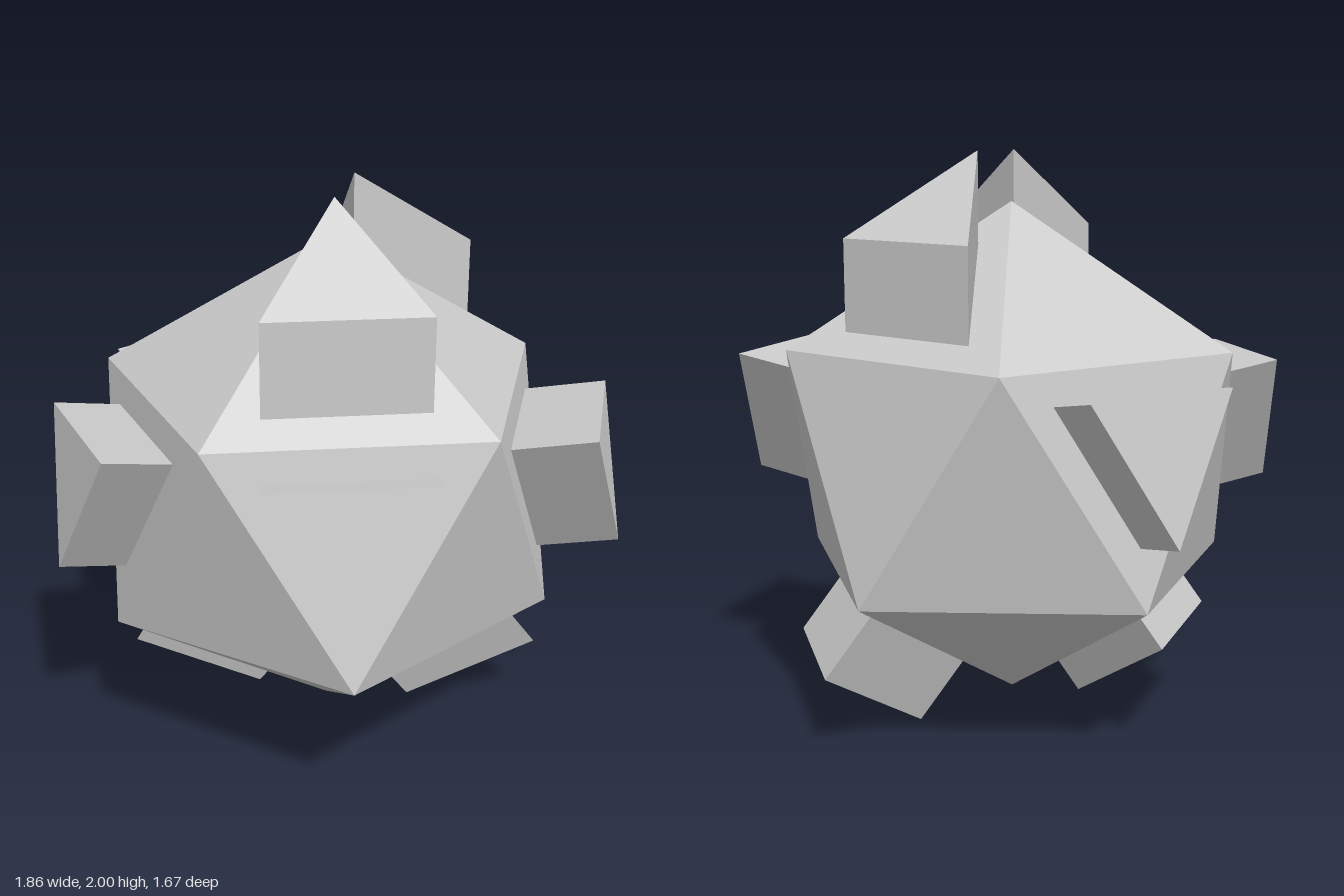
import * as THREE from 'three';
import { ConvexGeometry } from 'three/addons/geometries/ConvexGeometry.js';

const CENTER = new THREE.Vector3(0.025, 0.965, 0.04);
const RADIUS = 0.865;

export function createModel() {
  const group = new THREE.Group();
  const material = new THREE.MeshStandardMaterial({ color: 0xcccccc, flatShading: true });

  function add(name, points) {
    const mesh = new THREE.Mesh(new ConvexGeometry(points), material);
    mesh.name = name;
    group.add(mesh);
  }

  // Corners of the twenty-sided body: two poles and two rings of five
  const corner = (x, y, z) => new THREE.Vector3(x, y, z).multiplyScalar(RADIUS).add(CENTER);
  const ring = (y, start) => Array.from({ length: 5 }, (_, i) => {
    const a = start + (i * Math.PI * 2) / 5;
    return corner(Math.cos(a) * 2 / Math.sqrt(5), y, Math.sin(a) * 2 / Math.sqrt(5));
  });
  const top = corner(0, 1, 0);
  const bottom = corner(0, -1, 0);
  const upper = ring(1 / Math.sqrt(5), 0);
  const lower = ring(-1 / Math.sqrt(5), Math.PI / 5);
  add('body', [top, bottom, ...upper, ...lower]);

  // Triangular block standing on a face; it rises along the face normal unless a direction is given
  function addBlock(name, face, scale, height, direction) {
    const middle = new THREE.Vector3();
    face.forEach((p) => middle.addScaledVector(p, 1 / 3));
    const rise = (direction ? direction.clone() : middle.clone().sub(CENTER).normalize()).multiplyScalar(height);
    const base = face.map((p) => middle.clone().lerp(p, scale));
    add(name, [...base, ...base.map((p) => p.clone().add(rise))]);
  }

  // Upright blocks on the cap
  const up = new THREE.Vector3(0, 1, 0);
  addBlock('topBackBlock', [top, upper[0], upper[4]], 0.58, 0.304, up);
  addBlock('topFrontBlock', [top, upper[1], upper[2]], 0.58, 0.304, up);

  // Blocks around the middle band, each with its own height
  const band = [['frontLeftBlock', 0, 0.275], ['frontBlock', 1, 0.104], ['rightBlock', 2, 0.23], ['backBlock', 3, 0.193]];
  for (const [name, i, height] of band) {
    addBlock(name, [upper[i], upper[i + 1], lower[i]], 0.6, height);
  }

  // Blocks under the body
  addBlock('bottomLeftBlock', [bottom, lower[0], lower[4]], 0.6, 0.281);
  addBlock('bottomBackBlock', [bottom, lower[2], lower[3]], 0.6, 0.14);

  return group;
}
